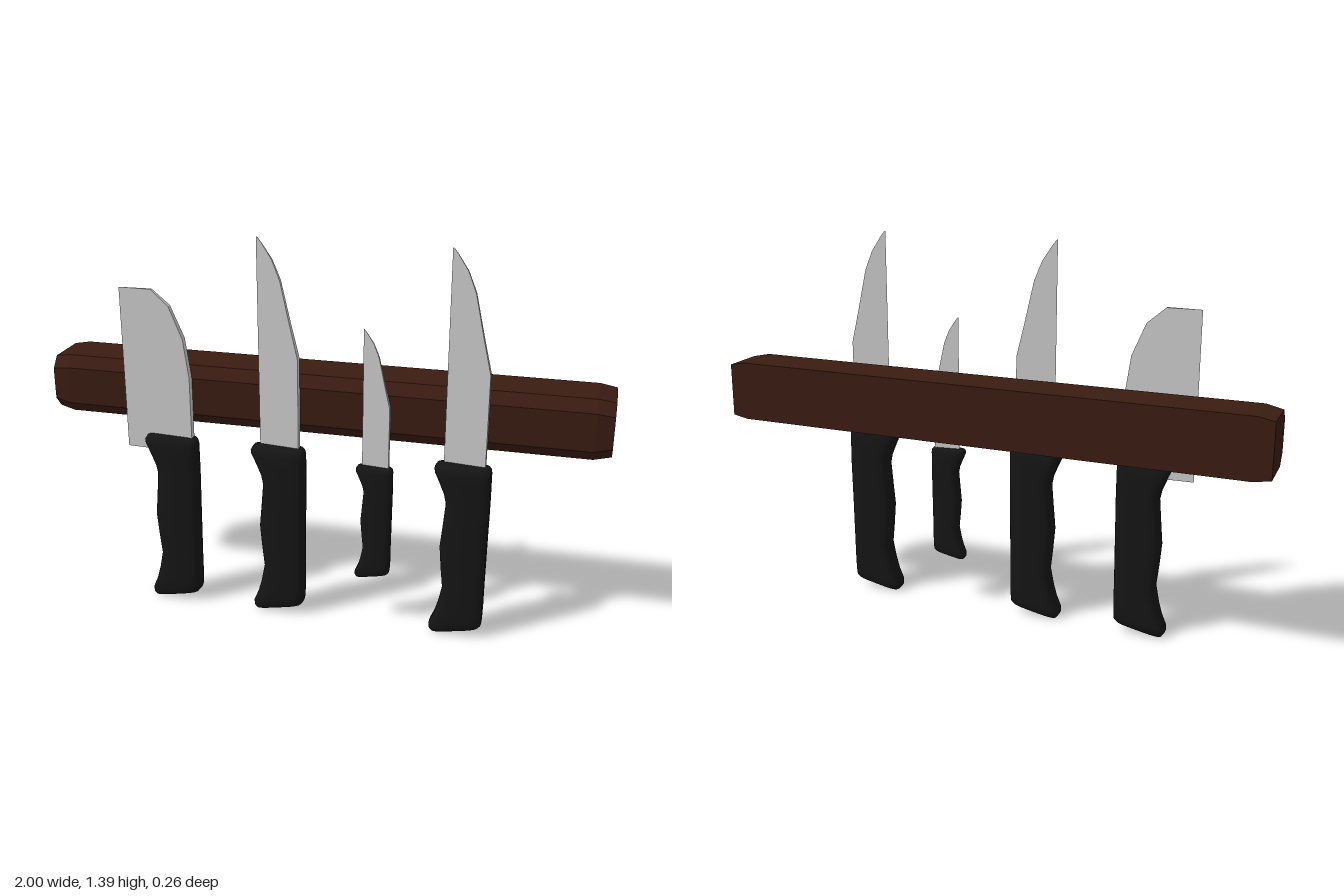
import * as THREE from 'three';
import { toCreasedNormals } from 'three/addons/utils/BufferGeometryUtils.js';

const wood = new THREE.MeshStandardMaterial({ color: 0x3a1c12 });
const steel = new THREE.MeshStandardMaterial({ color: 0xcccccc });
const black = new THREE.MeshStandardMaterial({ color: 0x151515 });

// Skin a list of rings (each counter-clockwise about the advancing axis) and close both ends
function loft(rings, crease) {
  const n = rings[0].length, pos = [], idx = [];
  rings.forEach(r => r.forEach(p => pos.push(...p)));
  for (let k = 0; k < rings.length - 1; k++) {
    for (let i = 0; i < n; i++) {
      const a = k * n + i, b = k * n + (i + 1) % n;
      idx.push(a, b, b + n, a, b + n, a + n);
    }
  }
  const last = (rings.length - 1) * n;
  for (let i = 1; i < n - 1; i++) {
    idx.push(0, i + 1, i);
    idx.push(last, last + i, last + i + 1);
  }
  const g = new THREE.BufferGeometry();
  g.setAttribute('position', new THREE.Float32BufferAttribute(pos, 3));
  g.setIndex(idx);
  return toCreasedNormals(g, crease);
}

function part(name, geometry, material) {
  const m = new THREE.Mesh(geometry, material);
  m.name = name;
  return m;
}

// Wall bar: chamfered front edges, slightly drawn-in ends
function makeBar() {
  const section = (x, inset) => {
    const t = 0.91 - inset, b = 0.695 + inset, f = 0.068 - inset;
    return [[t, -0.13], [t, 0.035 - inset], [0.87 - inset, f], [0.735 + inset, f], [b, 0.035 - inset], [b, -0.13]]
      .map(([y, z]) => [x, y, z]);
  };
  return part('magneticBar', loft([section(-1, 0.011), section(-0.94, 0), section(0.94, 0), section(1, 0.011)], 0.1), wood);
}

// Wedge blade: thin straight edge on the left, thick curved spine; rows are [y, spine x]
function makeBlade(edge, rows) {
  const width = rows[0][1] - edge;
  const rings = rows.map(([y, x]) => {
    const t = 0.013 * (x - edge) / width;
    return [[edge, y, -0.007], [x, y, -0.007 + t], [x, y, -0.007 - t]];
  });
  return part('blade', loft(rings, 0.3), steel);
}

// Handle rows: [left y, left x, right y, right x, half depth]
const handleRows = [
  [0.001, -0.075, 0.030, 0.055, 0.022],
  [0.003, -0.088, 0.036, 0.083, 0.034],
  [0.015, -0.096, 0.046, 0.091, 0.040],
  [0.035, -0.096, 0.070, 0.093, 0.042],
  [0.075, -0.079, 0.110, 0.094, 0.042],
  [0.120, -0.066, 0.150, 0.094, 0.042],
  [0.185, -0.053, 0.200, 0.094, 0.042],
  [0.260, -0.061, 0.260, 0.095, 0.042],
  [0.345, -0.068, 0.345, 0.096, 0.042],
  [0.430, -0.060, 0.430, 0.097, 0.042],
  [0.510, -0.053, 0.510, 0.098, 0.042],
  [0.545, -0.060, 0.545, 0.098, 0.042],
  [0.590, -0.079, 0.590, 0.098, 0.042],
  [0.625, -0.095, 0.625, 0.098, 0.042],
  [0.640, -0.097, 0.640, 0.096, 0.039],
  [0.651, -0.090, 0.650, 0.089, 0.033],
  [0.655, -0.076, 0.653, 0.072, 0.022],
];

function makeHandle() {
  const n = 24, soft = v => Math.sign(v) * Math.abs(v) ** 0.5;
  const rings = handleRows.map(([ly, lx, ry, rx, d]) =>
    Array.from({ length: n }, (_, i) => {
      const a = i / n * Math.PI * 2, u = (soft(Math.sin(a)) + 1) / 2;
      return [lx + (rx - lx) * u, ly + (ry - ly) * u, d * soft(Math.cos(a))];
    }));
  return part('handle', loft(rings, 0.9), black);
}

// Blade outlines, local to the handle's centre line
const pointed = [[0.60, 0.075], [0.98, 0.075], [1.10, 0.047], [1.25, 0.014], [1.32, -0.014], [1.375, -0.050], [1.393, -0.064]];
const broad = [[0.595, 0.079], [0.88, 0.079], [1.02, 0.060], [1.135, 0.012], [1.19, -0.052]];

function makeKnife(name, x, y, scale, edge, rows) {
  const g = new THREE.Group();
  g.name = name;
  g.add(makeBlade(edge, rows), makeHandle());
  g.scale.setScalar(scale);
  // keep the back of every blade against the bar
  g.position.set(x, y, 0.068 + 0.02 * scale);
  return g;
}

export function createModel() {
  const model = new THREE.Group();
  model.name = 'knifeRack';
  model.add(
    makeBar(),
    makeKnife('cleaver', -0.538, 0, 1, -0.172, broad),
    makeKnife('chefKnife', -0.138, 0, 1, -0.068, pointed),
    makeKnife('paringKnife', 0.208, 0.175, 0.665, -0.068, pointed),
    makeKnife('carvingKnife', 0.517, 0, 1, -0.068, pointed),
  );
  return model;
}
